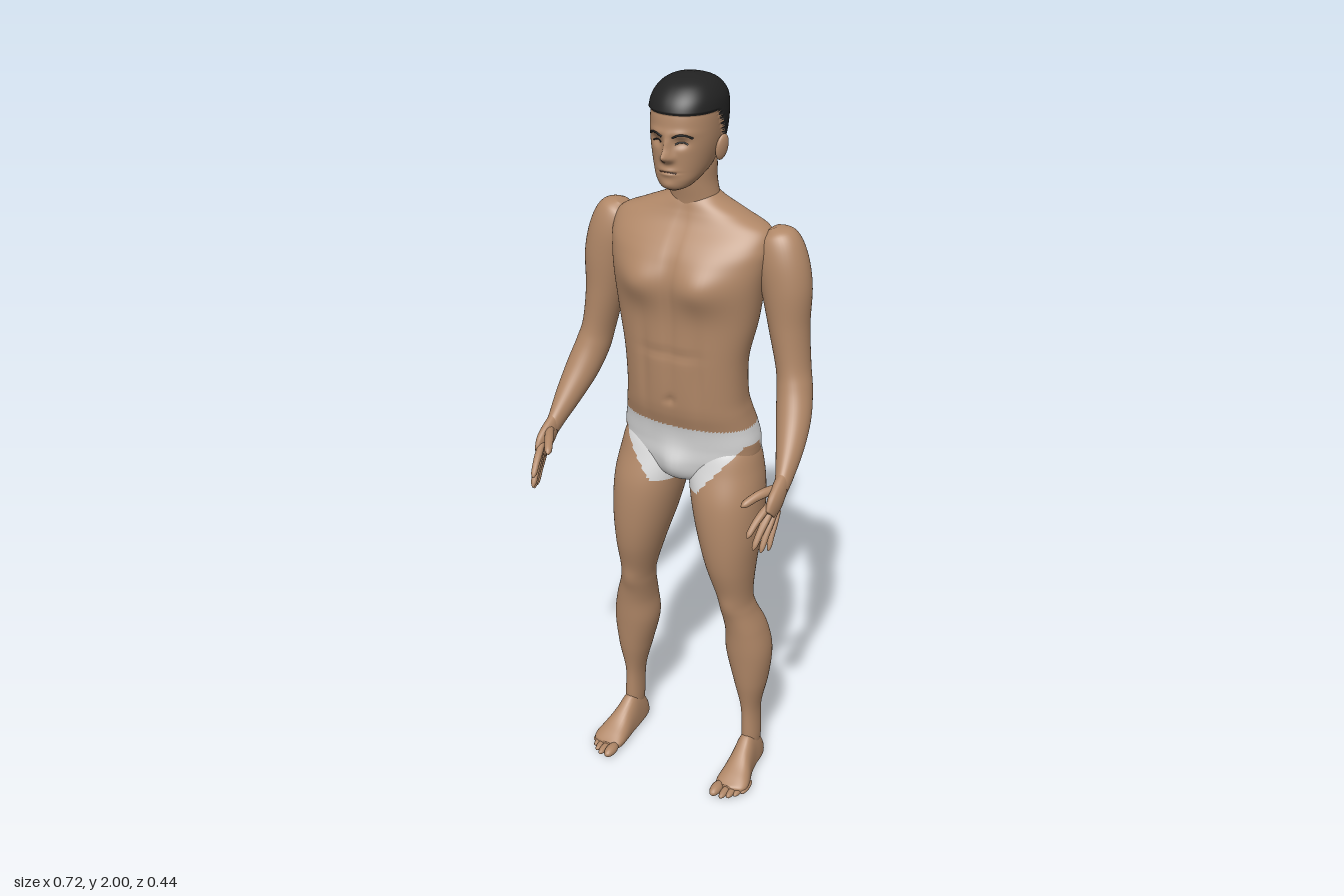
import * as THREE from 'three';

const mat = (name, color) => Object.assign(new THREE.MeshStandardMaterial({ color }), { name });

// Smooth interpolation through a list of number rows, t in 0..1
function sample(rows, t) {
  const f = Math.min(Math.max(t, 0), 1) * (rows.length - 1);
  const i = Math.min(Math.floor(f), rows.length - 2), u = f - i;
  const r = k => rows[Math.min(Math.max(k, 0), rows.length - 1)];
  return rows[i].map((_, c) => {
    const a = r(i - 1)[c], b = r(i)[c], d = r(i + 1)[c], e = r(i + 2)[c];
    return b + 0.5 * u * (d - a + u * (2 * a - 5 * b + 4 * d - e + u * (3 * (b - d) + e - a)));
  });
}

// Closed skin through cross-sections; point(t, angle) gives a position,
// pick(x, y, z) chooses the material index of each triangle
function loft(name, point, nu, nv, mats, pick = () => 0) {
  const pos = [], tris = [];
  for (let j = 0; j <= nv; j++)
    for (let i = 0; i < nu; i++) pos.push(point(j / nv, (i / nu) * Math.PI * 2));
  for (const j of [0, nv]) {
    const c = new THREE.Vector3();
    for (let i = 0; i < nu; i++) c.addScaledVector(pos[j * nu + i], 1 / nu);
    pos.push(c);
  }
  const bottom = nu * (nv + 1), top = bottom + 1;
  for (let i = 0; i < nu; i++) {
    const k = (i + 1) % nu;
    for (let j = 0; j < nv; j++) {
      const a = j * nu + i, b = j * nu + k;
      tris.push([a, a + nu, b], [b, a + nu, b + nu]);
    }
    tris.push([bottom, i, k], [top, nv * nu + k, nv * nu + i]);
  }
  // turn the surface outward
  let volume = 0;
  const v = new THREE.Vector3();
  for (const [a, b, c] of tris) volume += v.crossVectors(pos[b], pos[c]).dot(pos[a]);
  const lists = mats.map(() => []);
  for (const [a, b, c] of tris) {
    v.copy(pos[a]).add(pos[b]).add(pos[c]).divideScalar(3);
    lists[pick(v.x, v.y, v.z)].push(...(volume > 0 ? [a, b, c] : [a, c, b]));
  }
  const geo = new THREE.BufferGeometry().setFromPoints(pos);
  geo.setIndex(lists.flat());
  let start = 0;
  lists.forEach((l, m) => { geo.addGroup(start, l.length, m); start += l.length; });
  geo.computeVertexNormals();
  const mesh = new THREE.Mesh(geo, mats.length > 1 ? mats : mats[0]);
  mesh.name = name;
  return mesh;
}

const pw = (v, p) => Math.sign(v) * Math.abs(v) ** p;
// Level section from a row [y, xMin, xMax, zFront, zBack]
function level(rows, t, a, p = 0.88) {
  const [y, x0, x1, zf, zb] = sample(rows, t);
  return new THREE.Vector3((x0 + x1) / 2 + (x1 - x0) / 2 * pw(Math.cos(a), p), y,
    (zf + zb) / 2 + (zf - zb) / 2 * pw(Math.sin(a), p));
}
const even = rows => rows.map(([y, w, f, b]) => [y, -w, w, f, b]);
// Soft bump centred at (cx, cy)
const bump = (x, y, cx, cy, sx, sy) => Math.exp(-(((x - cx) / sx) ** 2) - ((y - cy) / sy) ** 2);

// Limb along a path of rows [x, y, z, radiusAcross, radiusDeep]
function limb(name, rows, s, nu, nv, m) {
  return loft(name, (t, a) => {
    const [x, y, z, r1, r2] = sample(rows, t);
    const p = sample(rows, t - 0.02), q = sample(rows, t + 0.02);
    const T = new THREE.Vector3(q[0] - p[0], q[1] - p[1], q[2] - p[2]).normalize();
    const S = new THREE.Vector3(1, 0, 0).addScaledVector(T, -T.x).normalize();
    const B = new THREE.Vector3().crossVectors(T, S);
    const P = new THREE.Vector3(x, y, z).addScaledVector(S, r1 * Math.cos(a)).addScaledVector(B, r2 * Math.sin(a));
    P.x *= s;
    return P;
  }, nu, nv, [m]);
}

const TORSO = even([
  [0.925, 0.03, -0.05, -0.13], [0.95, 0.1, -0.005, -0.165], [1.0, 0.18, 0.008, -0.19], [1.05, 0.192, 0.012, -0.198],
  [1.1, 0.184, 0.02, -0.193], [1.15, 0.173, 0.034, -0.178], [1.2, 0.166, 0.04, -0.163], [1.3, 0.169, 0.044, -0.152],
  [1.4, 0.189, 0.044, -0.168], [1.5, 0.203, 0.048, -0.178], [1.56, 0.212, 0.036, -0.18], [1.6, 0.216, 0.014, -0.176],
  [1.64, 0.205, -0.02, -0.168], [1.668, 0.145, -0.035, -0.16], [1.695, 0.082, -0.045, -0.152], [1.72, 0.05, -0.06, -0.135]]);
const LEG = [
  [0.04, 0.175, 0.215, -0.07, -0.13], [0.1, 0.17, 0.22, -0.06, -0.136], [0.2, 0.166, 0.217, -0.058, -0.14],
  [0.3, 0.142, 0.235, -0.04, -0.16], [0.4, 0.118, 0.244, -0.028, -0.167], [0.48, 0.119, 0.23, -0.02, -0.154],
  [0.55, 0.113, 0.206, -0.008, -0.126], [0.6, 0.105, 0.198, 0.002, -0.12], [0.7, 0.075, 0.205, 0.03, -0.14],
  [0.8, 0.045, 0.214, 0.04, -0.17], [0.9, 0.02, 0.214, 0.035, -0.185], [0.98, 0.006, 0.203, 0.012, -0.188],
  [1.05, 0.03, 0.182, -0.015, -0.17], [1.1, 0.08, 0.13, -0.07, -0.11]];
const HEAD = even([
  [1.742, 0.018, 0.028, -0.01], [1.75, 0.036, 0.038, -0.04], [1.768, 0.052, 0.043, -0.075], [1.79, 0.064, 0.043, -0.115],
  [1.82, 0.073, 0.044, -0.14], [1.85, 0.079, 0.045, -0.155], [1.88, 0.082, 0.045, -0.165], [1.92, 0.083, 0.041, -0.169],
  [1.95, 0.079, 0.029, -0.163], [1.974, 0.064, 0.006, -0.142], [1.988, 0.042, -0.022, -0.113], [1.994, 0.012, -0.055, -0.078]]);
const NECK = even([[1.6, 0.075, -0.045, -0.16], [1.68, 0.067, -0.044, -0.153], [1.74, 0.058, -0.035, -0.146],
  [1.8, 0.057, -0.03, -0.14], [1.83, 0.03, -0.05, -0.12]]);
const ARM = [
  [0.212, 1.645, -0.105, 0.012, 0.02], [0.22, 1.625, -0.105, 0.05, 0.045], [0.235, 1.575, -0.103, 0.065, 0.058],
  [0.253, 1.5, -0.1, 0.064, 0.06], [0.265, 1.4, -0.098, 0.051, 0.056], [0.283, 1.3, -0.092, 0.043, 0.052],
  [0.296, 1.24, -0.076, 0.045, 0.05], [0.311, 1.18, -0.042, 0.044, 0.045], [0.325, 1.12, 0.005, 0.035, 0.037],
  [0.335, 1.065, 0.055, 0.022, 0.028], [0.337, 1.045, 0.08, 0.018, 0.026]];
const PALM = [[0.336, 1.07, 0.05, 0.016, 0.022], [0.337, 1.045, 0.085, 0.018, 0.031],
  [0.338, 1.02, 0.115, 0.016, 0.036], [0.337, 0.998, 0.138, 0.01, 0.027]];
// fingers as [knuckle, tip, radius]
const FINGERS = [
  [[0.331, 1.02, 0.14], [0.312, 0.965, 0.212], 0.0095], [[0.337, 1.006, 0.133], [0.323, 0.927, 0.199], 0.0095],
  [[0.341, 0.994, 0.121], [0.334, 0.911, 0.178], 0.009], [[0.343, 0.988, 0.105], [0.343, 0.905, 0.152], 0.008],
  [[0.328, 1.05, 0.1], [0.281, 1.03, 0.183], 0.012]];
// foot rows [z, centre x, half width, top]
const FOOT = [[-0.147, 0.195, 0.01, 0.035], [-0.138, 0.195, 0.024, 0.06], [-0.11, 0.195, 0.03, 0.1], [-0.07, 0.195, 0.032, 0.115],
  [-0.03, 0.198, 0.036, 0.09], [0.01, 0.203, 0.044, 0.06], [0.04, 0.205, 0.047, 0.042], [0.06, 0.203, 0.04, 0.03], [0.07, 0.198, 0.02, 0.025]];
const TOES = [[0.175, 0.114, 0.016], [0.2, 0.11, 0.011], [0.217, 0.099, 0.0105], [0.232, 0.083, 0.01], [0.245, 0.063, 0.01]];

// Briefs between a waistline and a leg line that climbs toward the hip
function inBriefs(x, y, z) {
  const back = 0.95 + 0.11 * Math.min(Math.max((z + 0.17) / 0.07, 0), 1);
  const front = 0.915 + 1.25 * (Math.abs(x) - 0.06);
  return y < 1.11 && y > Math.max(0.925, Math.min(back, front)) ? 1 : 0;
}
// Hairline: level brow, dropping behind the ears to the nape
function inHair(x, y, z) {
  const t = Math.min(Math.max((-0.045 - z) / 0.06, 0), 1);
  return y > 1.925 - 0.095 * t * t * (3 - 2 * t) ? 1 : 0;
}

export function createModel() {
  const skin = mat('skin', 0xb08767), cloth = mat('white cloth', 0xd8d8d8);
  const hair = mat('black hair', 0x222222), lip = mat('lip line', 0x7d5542);
  const body = new THREE.Group();
  body.name = 'standingMan';

  // torso with chest, belly, spine and seat shaping
  body.add(loft('torso', (t, a) => {
    const p = level(TORSO, t, a), x = Math.abs(p.x), y = p.y, s = Math.sin(a);
    if (s > 0) p.z += Math.sqrt(s) * (0.024 * bump(x, y, 0.085, 1.505, 0.065, 0.055) - 0.007 * bump(x, y, 0, 1.42, 0.013, 0.22)
      - 0.006 * bump(x, y, 0.075, 1.27, 0.015, 0.13) - 0.008 * bump(x, y, 0, 1.19, 0.009, 0.012)
      - 0.004 * bump(x, y, 0.03, 1.32, 0.05, 0.012) + 0.022 * bump(x, y, 0, 0.99, 0.04, 0.05));
    else p.z -= Math.sqrt(-s) * (0.03 * bump(x, y, 0.075, 1.03, 0.065, 0.075) - 0.014 * bump(x, y, 0, 1.02, 0.016, 0.08)
      - 0.012 * bump(x, y, 0, 1.36, 0.022, 0.22) + 0.008 * bump(x, y, 0.1, 1.52, 0.05, 0.09));
    return p;
  }, 96, 130, [skin, cloth], inBriefs));

  body.add(loft('neck', (t, a) => level(NECK, t, a, 1), 40, 24, [skin]));

  // head with nose, eye sockets, brow and lips; the hair stands slightly proud
  const head = loft('head', (t, a) => {
    const p = level(HEAD, t, a, 0.9), x = Math.abs(p.x), y = p.y;
    if (Math.sin(a) > 0) p.z += 0.024 * bump(x, y, 0, 1.828, 0.011, 0.013) + 0.013 * bump(x, y, 0, 1.85, 0.009, 0.025)
      + 0.007 * bump(x, y, 0.012, 1.823, 0.008, 0.009) - 0.009 * bump(x, y, 0.032, 1.86, 0.016, 0.012)
      + 0.004 * bump(x, y, 0.03, 1.882, 0.03, 0.009) + 0.007 * bump(x, y, 0, 1.789, 0.022, 0.011)
      - 0.005 * bump(x, y, 0, 1.789, 0.022, 0.003) + 0.005 * bump(x, y, 0, 1.757, 0.018, 0.012);
    if (inHair(p.x, p.y, p.z)) {
      const c = new THREE.Vector3(0, 1.88, -0.065);
      p.addScaledVector(c.subVectors(p, c).normalize(), 0.006);
    }
    return p;
  }, 112, 130, [skin, hair], inHair);
  body.add(head);

  // thin face lines laid on the front of the head
  const ray = new THREE.Raycaster();
  const faceLine = (name, pts, r, m) => {
    const on = pts.map(([x, y]) => {
      ray.set(new THREE.Vector3(x, y, 1), new THREE.Vector3(0, 0, -1));
      const hit = ray.intersectObject(head)[0];
      return hit ? hit.point : new THREE.Vector3(x, y, 0.04);
    });
    const mesh = new THREE.Mesh(new THREE.TubeGeometry(new THREE.CatmullRomCurve3(on), 16, r, 6), m);
    mesh.name = name;
    body.add(mesh);
  };
  faceLine('mouthLine', [[-0.022, 1.788], [-0.008, 1.79], [0.008, 1.79], [0.022, 1.788]], 0.0015, lip);

  const ball = (name, x, y, z, sx, sy, sz) => {
    const mesh = new THREE.Mesh(new THREE.SphereGeometry(1, 20, 14), skin);
    mesh.position.set(x, y, z);
    mesh.scale.set(sx, sy, sz);
    mesh.name = name;
    body.add(mesh);
    return mesh;
  };

  for (const s of [1, -1]) {
    const side = s > 0 ? 'left' : 'right';
    faceLine(side + 'Eyebrow', [[0.014, 1.873], [0.028, 1.88], [0.042, 1.88], [0.056, 1.872]].map(([x, y]) => [x * s, y]), 0.0028, hair);
    faceLine(side + 'Eyelid', [[0.018, 1.857], [0.027, 1.861], [0.037, 1.861], [0.046, 1.857]].map(([x, y]) => [x * s, y]), 0.002, hair);
    const ear = ball(side + 'Ear', s * 0.085, 1.833, -0.07, 0.009, 0.032, 0.019);
    ear.rotation.set(-0.15, -s * 0.3, -s * 0.15);

    // arm, palm and fingers
    body.add(limb(side + 'Arm', ARM, s, 40, 80, skin));
    body.add(limb(side + 'Palm', PALM, s, 24, 20, skin));
    FINGERS.forEach(([k, e, r], i) => {
      const mix = (u, f, lift) => [...k.map((v, c) => v + (e[c] - v) * u + (c === 1 ? lift : 0)), r * f, r * f];
      const rows = [mix(-0.1, 0.9, 0), mix(0.3, 1.05, 0.005), mix(0.6, 0.95, 0.006), mix(0.88, 0.8, 0.002), mix(1, 0.25, 0)];
      body.add(limb(side + (i === 4 ? 'Thumb' : 'Finger' + (i + 1)), rows, s, 12, 16, skin));
    });

    // leg with kneecap and upper briefs
    body.add(loft(side + 'Leg', (t, a) => {
      const p = level(LEG, t, a, 0.95);
      if (Math.sin(a) > 0) p.z += 0.006 * bump(p.x, p.y, 0.155, 0.575, 0.03, 0.035);
      p.x *= s;
      return p;
    }, 64, 130, [skin, cloth], inBriefs));

    // foot with a flat sole, and toes
    body.add(loft(side + 'Foot', (t, a) => {
      const [z, cx, w, top] = sample(FOOT, t), h = Math.sin(a);
      return new THREE.Vector3(s * (cx + w * pw(Math.cos(a), 0.85)), 0.018 + (h > 0 ? (top - 0.018) * h : 0.018 * pw(h, 0.5)), z);
    }, 36, 40, [skin]));
    TOES.forEach(([x, tip, r], i) => ball(side + 'Toe' + (i + 1), s * x, r * 0.95, tip - 0.032, r, r * 0.95, 0.032));
  }
  return body;
}
